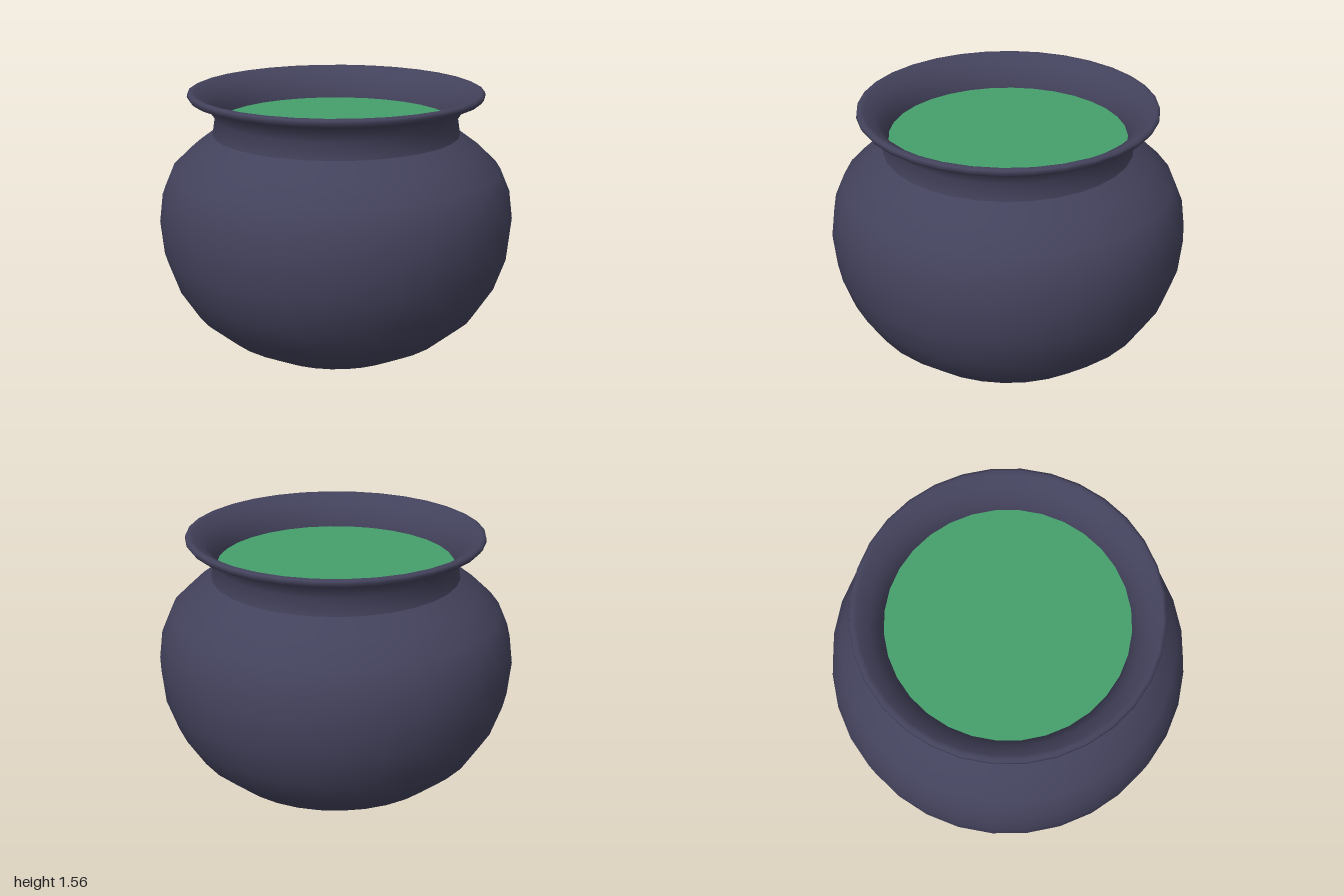
import * as THREE from 'three';

const SIDES = 32;
const TURN = 0.041; // slight twist of the facets around the axis

// Smooth turned surface from [radius, height] pairs
function turned(name, profile, material) {
  const points = profile.map(([r, y]) => new THREE.Vector2(r, y));
  const mesh = new THREE.Mesh(new THREE.LatheGeometry(points, SIDES, TURN), material);
  mesh.name = name;
  return mesh;
}

export function createModel() {
  const iron = new THREE.MeshStandardMaterial({ color: 0x43425c });
  iron.name = 'dark iron';
  const green = new THREE.MeshStandardMaterial({ color: 0x45a06c });
  green.name = 'green liquid';

  const group = new THREE.Group();
  group.name = 'cauldron';

  // Round belly, from the flat base up to the neck
  group.add(turned('belly', [
    [0, 0], [0.2, 0], [0.44, 0.06], [0.64, 0.16], [0.81, 0.3], [0.915, 0.46],
    [0.98, 0.64], [1, 0.83], [0.98, 0.99], [0.925, 1.12], [0.81, 1.23], [0.695, 1.315],
  ], iron));

  // Flared neck, rolled lip and inner wall
  group.add(turned('neckAndRim', [
    [0.695, 1.315], [0.68, 1.41], [0.73, 1.49], [0.815, 1.515], [0.83, 1.535],
    [0.827, 1.552], [0.81, 1.56], [0.79, 1.553], [0.73, 1.515], [0.685, 1.455],
    [0.661, 1.385], [0.66, 1.34],
  ], iron));

  // Liquid surface
  const disc = new THREE.CircleGeometry(0.662, SIDES, TURN);
  disc.rotateX(-Math.PI / 2);
  const liquid = new THREE.Mesh(disc, green);
  liquid.name = 'liquid';
  liquid.position.y = 1.385;
  group.add(liquid);

  return group;
}
